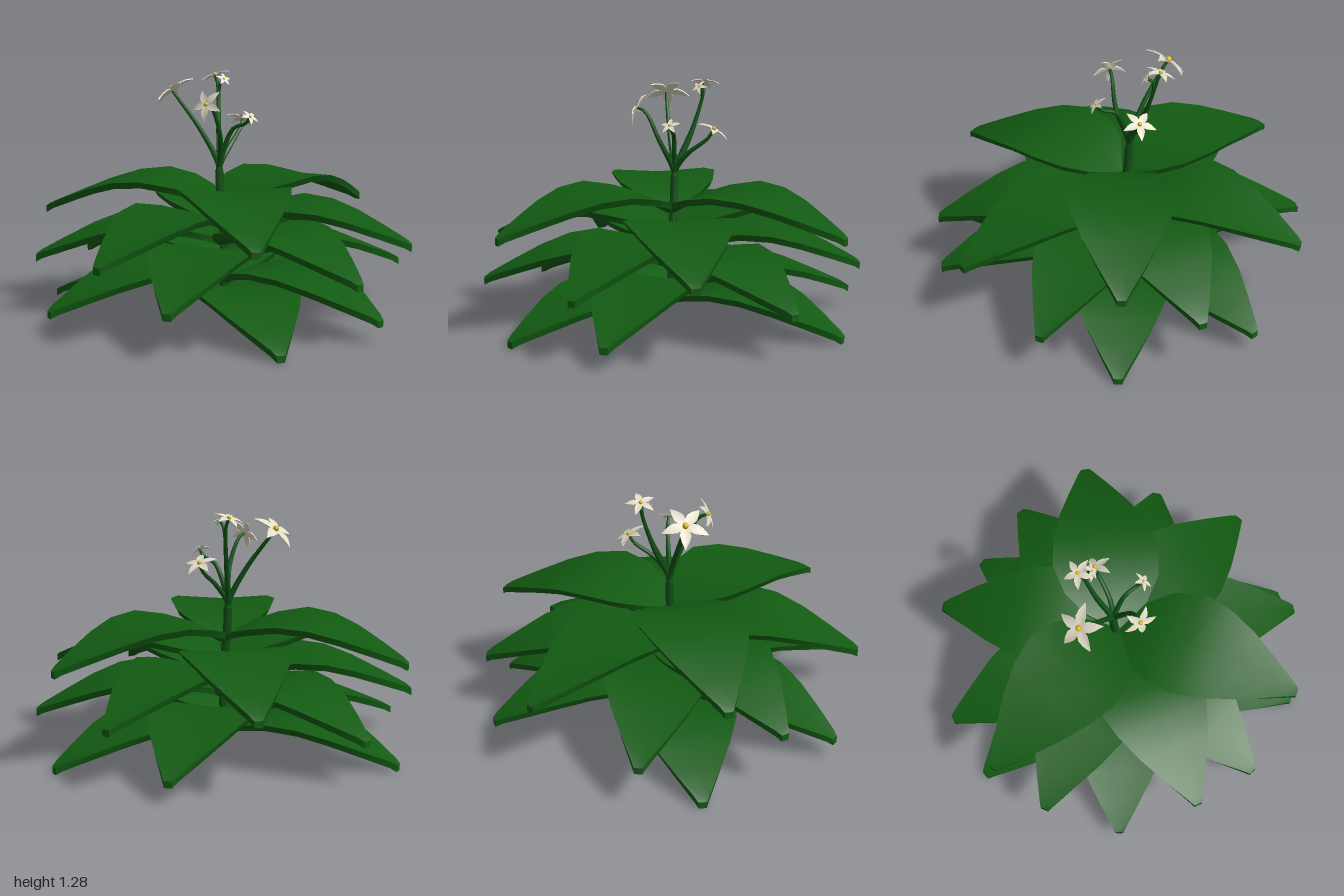
import * as THREE from 'three';
import { toCreasedNormals } from 'three/addons/utils/BufferGeometryUtils.js';

const leafMat = new THREE.MeshStandardMaterial({ color: 0x125a12 });
const stemMat = new THREE.MeshStandardMaterial({ color: 0x0f5014 });
const petalMat = new THREE.MeshStandardMaterial({ color: 0xe2dcc8 });
const centreMat = new THREE.MeshStandardMaterial({ color: 0xd8b820 });

// Solid blade along +z; each station is [distance, half width, edge height]
function bladeGeometry(stations, thickness, fold) {
  const pos = [], idx = [], n = 6;
  for (const [z, w, y] of stations) {
    const mid = y + fold * w, b = w * 0.93;
    pos.push(-w, y, z, 0, mid, z, w, y, z);
    pos.push(b, y - thickness, z, 0, mid - thickness, z, -b, y - thickness, z);
  }
  for (let s = 0; s < stations.length - 1; s++) {
    for (let i = 0; i < n; i++) {
      const a = s * n + i, b = s * n + (i + 1) % n, c = b + n, d = a + n;
      idx.push(a, c, b, a, d, c);
    }
  }
  // End caps
  const e = (stations.length - 1) * n;
  for (const [i, j] of [[1, 4], [4, 1]]) {
    const k = i === 1 ? [0, 1, 4, 0, 4, 5] : [1, 2, 3, 1, 3, 4];
    idx.push(...k);
    for (let t = 0; t < 6; t += 3) idx.push(e + k[t], e + k[t + 2], e + k[t + 1]);
  }
  const g = new THREE.BufferGeometry();
  g.setAttribute('position', new THREE.Float32BufferAttribute(pos, 3));
  g.setIndex(idx);
  return toCreasedNormals(g, 0.6);
}

// Tube along a curve, narrowing from full radius to a fraction of it
function taperedTube(points, radius, endScale) {
  const curve = new THREE.CatmullRomCurve3(points.map(p => new THREE.Vector3(...p)));
  const segs = 14, sides = 8;
  const g = new THREE.TubeGeometry(curve, segs, radius, sides);
  const p = g.attributes.position, v = new THREE.Vector3();
  for (let i = 0; i < p.count; i++) {
    const t = Math.floor(i / (sides + 1)) / segs;
    const c = curve.getPointAt(t);
    v.fromBufferAttribute(p, i).sub(c).multiplyScalar(1 + (endScale - 1) * t).add(c);
    p.setXYZ(i, v.x, v.y, v.z);
  }
  g.computeVertexNormals();
  return g;
}

function addMesh(parent, name, geometry, material) {
  const m = new THREE.Mesh(geometry, material);
  m.name = name;
  parent.add(m);
  return m;
}

export function createModel() {
  const model = new THREE.Group();
  model.name = 'floweringPlant';

  // Leaves: six whorls of three, heights measured at the crest of the arch
  const leafGeo = bladeGeometry([
    [0.0, 0.02, -0.13], [0.1, 0.17, -0.07], [0.22, 0.255, -0.03], [0.38, 0.29, 0],
    [0.54, 0.255, -0.015], [0.69, 0.195, -0.06], [0.84, 0.115, -0.12],
    [0.97, 0.04, -0.175], [1.0, 0.022, -0.195],
  ], 0.035, -0.06);
  const whorls = [
    [0.73, [276, 37, 149]], [0.61, [209, 330, 83]], [0.52, [131, 252.5, 4.6]],
    [0.43, [300, 61, 174]], [0.31, [233.5, 355, 107.5]], [0.23, [156, 277, 30]],
  ];
  const leaves = new THREE.Group();
  leaves.name = 'leaves';
  model.add(leaves);
  for (const [y, angles] of whorls) {
    for (const a of angles) {
      const leaf = addMesh(leaves, 'leaf', leafGeo, leafMat);
      leaf.position.y = y;
      leaf.rotation.y = THREE.MathUtils.degToRad(90 - a);
    }
  }

  // Main stem
  addMesh(model, 'mainStem', taperedTube(
    [[0, 0.1, 0], [0, 0.4, 0], [-0.03, 0.66, 0], [-0.035, 0.76, 0]], 0.025, 0.9), stemMat);

  // Flowers: position, radius, facing direction, bend point of the stalk
  const petalGeo = bladeGeometry([
    [0.05, 0.08, 0], [0.25, 0.19, 0.05], [0.45, 0.23, 0.06],
    [0.7, 0.16, 0.02], [0.9, 0.06, -0.05], [1.0, 0.015, -0.1],
  ], 0.05, -0.25);
  const centreGeo = new THREE.SphereGeometry(0.13, 10, 8);
  const flowers = [
    [[-0.25, 1.185, 0.14], 0.125, [-0.55, 0.77, 0.25], [-0.11, 0.97, 0.06]],
    [[-0.18, 1.255, -0.11], 0.08, [-0.35, 0.92, 0.1], [-0.1, 0.96, -0.06]],
    [[-0.11, 1.235, -0.11], 0.045, [0.7, 0.65, 0.1], [-0.12, 1.04, -0.08]],
    [[0.05, 1.13, 0.18], 0.09, [0.15, 0.4, 0.9], [0.03, 0.96, 0.06]],
    [[0.14, 1.055, -0.05], 0.055, [0.62, 0.75, 0], [0.04, 0.99, -0.03]],
    [[-0.065, 1.02, -0.21], 0.09, [-0.15, 0.87, -0.45], [-0.03, 0.88, -0.07]],
  ];
  const up = new THREE.Vector3(0, 1, 0);
  flowers.forEach(([p, r, facing, bend], k) => {
    const n = new THREE.Vector3(...facing).normalize();
    const neck = new THREE.Vector3(...p).addScaledVector(n, -0.05).toArray();
    addMesh(model, 'flowerStalk', taperedTube(
      [[-0.035, 0.68, 0], [-0.035, 0.78, 0], bend, neck, p], 0.018, 0.45), stemMat);

    const flower = new THREE.Group();
    flower.name = 'flower';
    flower.position.set(...p);
    flower.quaternion.setFromUnitVectors(up, n);
    flower.scale.setScalar(r);
    for (let i = 0; i < 5; i++) {
      const petal = addMesh(flower, 'petal', petalGeo, petalMat);
      petal.rotation.y = (i / 5) * Math.PI * 2 + k * 0.9;
    }
    const centre = addMesh(flower, 'flowerCentre', centreGeo, centreMat);
    centre.position.y = 0.06;
    model.add(flower);
  });

  return model;
}
